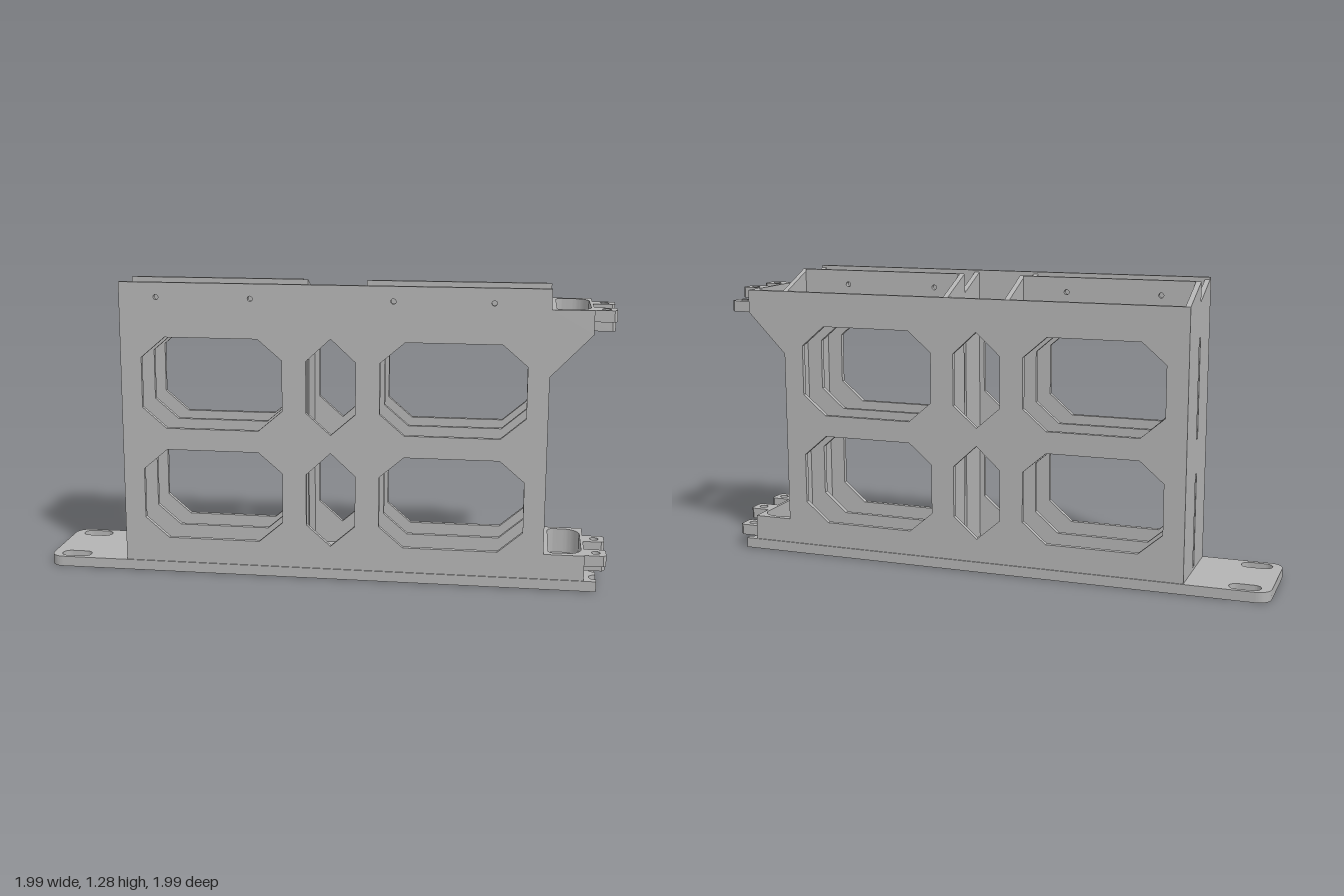
import * as THREE from 'three';
import { toCreasedNormals } from 'three/addons/utils/BufferGeometryUtils.js';

// Local frame: x runs along the rack, z across it; the whole is turned 45 degrees at the end.
const T = 0.022, HALF = 0.205, U0 = -0.877, U1 = 0.955, MID = 0.04, FLOOR = 0.045;

const outline = (pts, Kind = THREE.Shape) => new Kind(pts.map(([x, y]) => new THREE.Vector2(x, y)));
const rect = (x0, y0, x1, y1, Kind) => outline([[x0, y0], [x1, y0], [x1, y1], [x0, y1]], Kind);

function circle(x, y, r) {
  const p = new THREE.Path();
  p.absarc(x, y, r, 0, Math.PI * 2, true);
  return p;
}

// Rounded rectangle with a radius for the left corners and one for the right corners
function rounded(x0, y0, x1, y1, rl, rr, Kind) {
  const p = new Kind(), H = Math.PI / 2;
  p.absarc(x0 + rl, y0 + rl, rl, 2 * H, 3 * H, false);
  p.absarc(x1 - rr, y0 + rr, rr, 3 * H, 4 * H, false);
  p.absarc(x1 - rr, y1 - rr, rr, 0, H, false);
  p.absarc(x0 + rl, y1 - rl, rl, H, 2 * H, false);
  p.closePath();
  return p;
}

// Window with cut corners; a large cut makes it pointed
function windowPath(x0, x1, y0, y1, cx, cy) {
  return outline([[x0 + cx, y0], [x1 - cx, y0], [x1, y0 + cy], [x1, y1 - cy],
    [x1 - cx, y1], [x0 + cx, y1], [x0, y1 - cy], [x0, y0 + cy]], THREE.Path);
}

const extrude = (shape, depth) =>
  new THREE.ExtrudeGeometry(shape, { depth, bevelEnabled: false, curveSegments: 8 });

export function createModel() {
  const grey = new THREE.MeshStandardMaterial({ color: 0xb4b4b4 });
  grey.name = 'grey';
  const rack = new THREE.Group();
  rack.name = 'rack';
  const add = (name, geometry) => {
    const mesh = new THREE.Mesh(toCreasedNormals(geometry, 0.6), grey);
    mesh.name = name;
    rack.add(mesh);
  };
  // Plan shape pulled up from a floor height
  const slab = (name, shape, y, h) => {
    const g = extrude(shape, h);
    g.rotateX(-Math.PI / 2);
    g.translate(0, y, 0);
    add(name, g);
  };

  // Base with rounded mounting tab, slots, four floor openings and a scalloped hinge edge
  const base = new THREE.Shape();
  const edge = 1.18, W = 0.21, knuckles = [-0.15, -0.05, 0.05, 0.15];
  base.absarc(-1.176, -W + 0.06, 0.06, Math.PI, Math.PI * 1.5, false);
  base.lineTo(edge, -W);
  for (const v of knuckles) {
    base.lineTo(edge, v - 0.03);
    base.absarc(edge, v, 0.03, Math.PI * 1.5, Math.PI / 2, true);
  }
  base.lineTo(edge, W);
  base.absarc(-1.176, W - 0.06, 0.06, Math.PI / 2, Math.PI, false);
  base.closePath();
  for (const s of [-1, 1]) {
    base.holes.push(rounded(-1.193, s * 0.155 - 0.035, -1.058, s * 0.155 + 0.035, 0.034, 0.034, THREE.Path));
    for (const [a, b] of [[-0.84, -0.11], [0.2, 0.92]])
      base.holes.push(rect(a, s * 0.105 - 0.075, b, s * 0.105 + 0.075, THREE.Path));
  }
  slab('base', base, 0, FLOOR);

  // Long walls and divider, with two rows of windows
  function longPanel(name, spans, top, v, screws) {
    for (const [a, b] of spans) {
      const s = rect(a, FLOOR, b, top);
      for (const y of [0.155, 0.65]) {
        for (const [p, q] of [[-0.785, -0.17], [0.25, 0.865]])
          if (p > a && q < b) s.holes.push(windowPath(p, q, y, y + 0.4, 0.105, 0.09));
        if (a < -0.1 && b > 0.2)
          s.holes.push(outline([[MID, y - 0.008], [MID + 0.106, y + 0.085], [MID + 0.106, y + 0.31],
            [MID, y + 0.408], [MID - 0.106, y + 0.31], [MID - 0.106, y + 0.085]], THREE.Path));
      }
      if (screws) for (const u of [-0.714, -0.304, 0.304, 0.721])
        if (u > a && u < b) s.holes.push(circle(u, 1.222, 0.011));
      const g = extrude(s, T);
      g.translate(0, 0, v - T / 2);
      add(name, g);
    }
  }
  longPanel('frontWall', [[U0, U1]], 1.285, HALF - T / 2, true);
  longPanel('backWall', [[U0, U1]], 1.2, -HALF + T / 2, false);
  longPanel('divider', [[U0 + T, -0.11], [0.19, U1 - T]], 1.285, -0.011, true);

  // Cross walls with a stepped sloping top and two narrow slits
  function crossWall(name, u) {
    const e = HALF - 0.001;
    const s = outline([[-e, FLOOR], [e, FLOOR], [e, 1.284], [0.001, 1.2], [-0.001, 1.284], [-e, 1.2]]);
    for (const [y0, y1] of [[0.06, 0.47], [0.62, 1.05]])
      s.holes.push(rect(-0.011, y0, 0.011, y1, THREE.Path));
    const g = extrude(s, T);
    g.rotateY(-Math.PI / 2);
    g.translate(u, 0, 0);
    add(name, g);
  }
  crossWall('endWall', U0 + T);
  crossWall('bayWall', -0.088);
  crossWall('bayWall', 0.19);
  crossWall('hingeWall', U1);

  // Hinge brackets: a hollow rim, its underside sloping in the upper one
  for (const [top, inner, outer] of [[1.2, 0.92, 1.1], [0.155, FLOOR, FLOOR]]) {
    const rim = rect(U1 - 0.002, -HALF, 1.128, HALF);
    rim.holes.push(rounded(0.975, -0.18, 1.116, 0.18, 0.03, 0.07, THREE.Path));
    const g = extrude(rim, 1);
    g.rotateX(-Math.PI / 2);
    const p = g.attributes.position;
    for (let i = 0; i < p.count; i++) {
      const low = inner + (outer - inner) * (p.getX(i) - U1) / (1.128 - U1);
      p.setY(i, p.getY(i) > 0.5 ? top : low);
    }
    add('hingeBracket', g);

    // Alternating high and low knuckles with pin holes
    knuckles.forEach((v, i) => {
      const a = v - 0.045, b = v + 0.045, c = 0.012;
      const s = outline([[1.12, a], [1.22 - c, a], [1.22, a + c], [1.22, b - c], [1.22 - c, b], [1.12, b]]);
      s.holes.push(circle(1.177, v, 0.019));
      // plan shapes are mirrored across z, so even entries lie on the front side
      const y = top - (i % 2 ? 0.1 : 0.048);
      slab('hingeKnuckle', s, y, 0.048);
    });
  }

  rack.rotation.y = Math.PI / 4;
  const model = new THREE.Group();
  model.name = 'diagonalRack';
  model.add(rack);
  return model;
}
